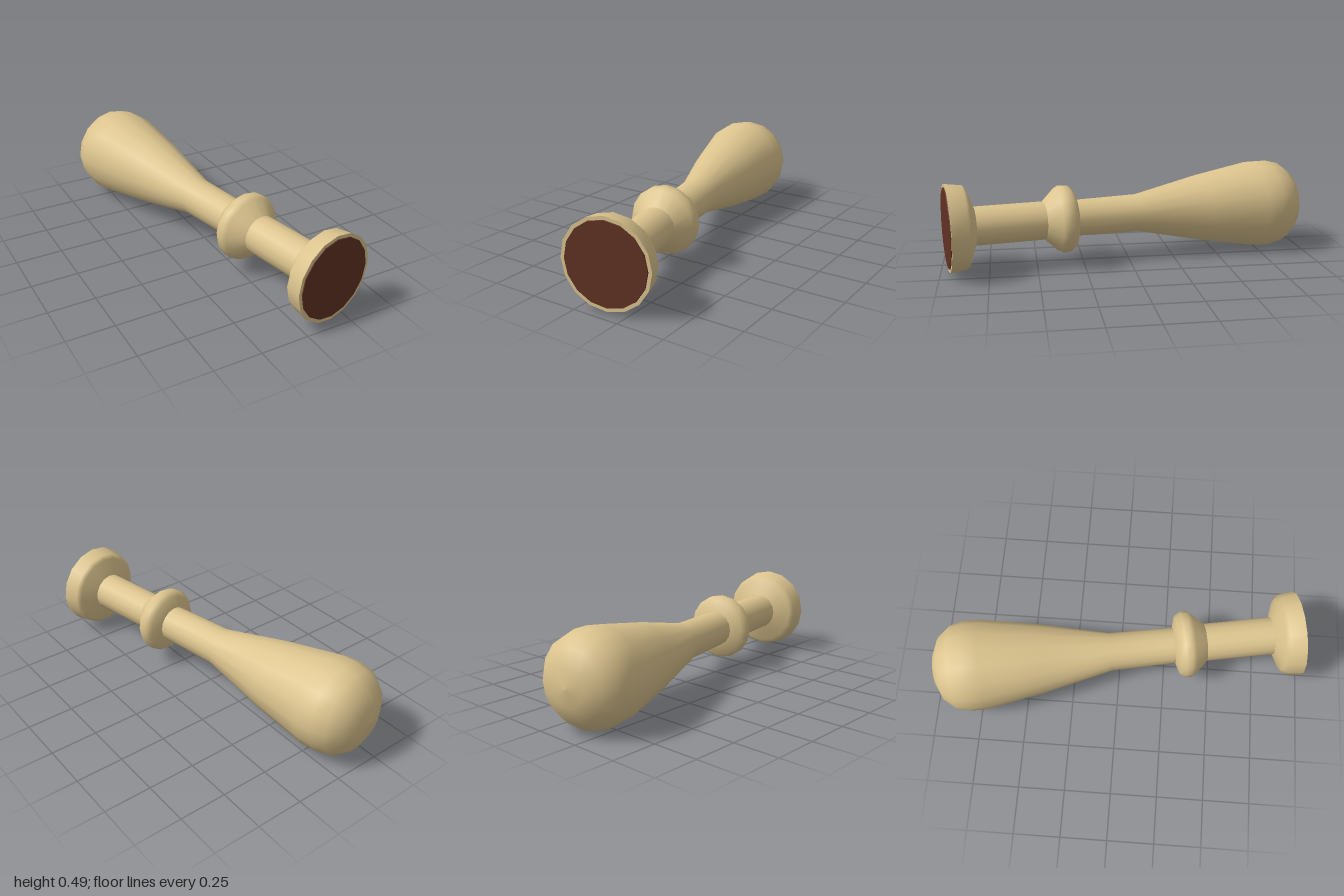
import * as THREE from 'three';

const SIDES = 16;

export function createModel() {
  const wood = new THREE.MeshStandardMaterial({ color: 0xdcc48e });
  wood.name = 'pale wood';
  const stain = new THREE.MeshStandardMaterial({ color: 0x5f3222 });
  stain.name = 'dark brown face';

  const model = new THREE.Group();
  model.name = 'turnedHandle';

  // The axis runs backwards from the flat face at the front
  const add = (name, geometry, material, z = 0) => {
    const mesh = new THREE.Mesh(geometry, material);
    mesh.name = name;
    mesh.position.z = z;
    model.add(mesh);
  };
  // Profiles are [radius, distance behind the face]
  const turned = (name, profile) => {
    const points = profile.map(([r, t]) => new THREE.Vector2(r, t));
    add(name, new THREE.LatheGeometry(points, SIDES).rotateX(-Math.PI / 2), wood);
  };

  // Flared foot with its flat, dark face
  turned('foot', [[0.23, 0], [0.218, 0.087], [0.195, 0.105], [0.103, 0.14]]);
  add('footRim', new THREE.CircleGeometry(0.23, SIDES), wood);
  add('darkFace', new THREE.CylinderGeometry(0.21, 0.212, 0.004, SIDES).rotateX(Math.PI / 2), stain, 0.002);

  // Straight neck and collar
  turned('frontNeck', [[0.102, 0.13], [0.102, 0.505]]);
  turned('collar', [[0.1, 0.503], [0.168, 0.573], [0.181, 0.598], [0.18, 0.632], [0.158, 0.66], [0.097, 0.678]]);

  // Neck swelling into the rounded grip
  turned('grip', [
    [0.097, 0.676], [0.103, 1.025], [0.187, 1.4], [0.243, 1.715], [0.244, 1.8],
    [0.227, 1.875], [0.175, 1.937], [0.09, 1.975], [0, 1.986],
  ]);

  model.position.set(0.16, 0.244, 0.957);
  model.rotation.y = 0.178;
  const root = new THREE.Group();
  root.add(model);
  return root;
}
